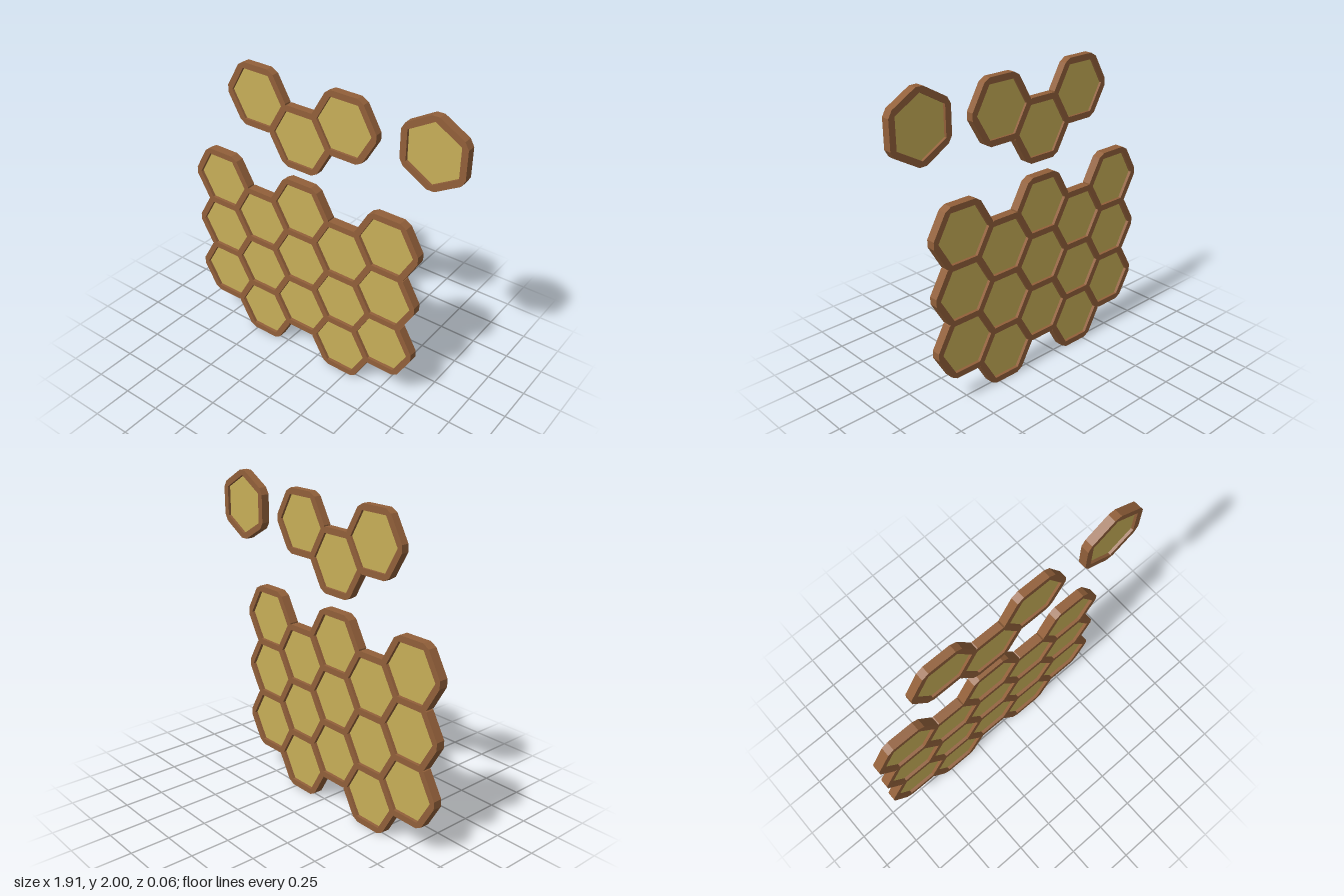
import * as THREE from 'three';

const EDGE = 0.207;                  // centre to corner of a cell, on the wall centre line
const PITCH = EDGE * Math.sqrt(3);   // distance between neighbouring cells
const OUTER = 0.1985, INNER = 0.16;  // centre to flat of the wall's two faces
const TIP = 0.2155;                  // centre to the blunted outer corner
const FRONT = 0.029;                 // shared front plane

const wood = new THREE.MeshStandardMaterial({ color: 0x92603a, flatShading: true });
const honey = new THREE.MeshStandardMaterial({ color: 0xc8af58, flatShading: true });

// Hexagon with flat top and bottom, given its centre-to-flat distance
function hexPoints(flat) {
  const r = flat / Math.cos(Math.PI / 6);
  return Array.from({ length: 6 }, (_, i) =>
    new THREE.Vector2(r * Math.cos(i * Math.PI / 3), r * Math.sin(i * Math.PI / 3)));
}

// Hexagon with every corner cut off square
function bluntHexPoints(flat, tip) {
  const cut = (flat / Math.cos(Math.PI / 6) - tip) * Math.tan(Math.PI / 3);
  const pts = [];
  for (let i = 0; i < 6; i++) {
    const a = i * Math.PI / 3;
    for (const s of [-cut, cut]) {
      pts.push(new THREE.Vector2(
        tip * Math.cos(a) - s * Math.sin(a),
        tip * Math.sin(a) + s * Math.cos(a)));
    }
  }
  return pts;
}

function frameGeometry(depth) {
  const shape = new THREE.Shape(bluntHexPoints(OUTER, TIP));
  shape.holes.push(new THREE.Path(hexPoints(INNER)));
  return new THREE.ExtrudeGeometry(shape, { depth, bevelEnabled: false });
}

// A group of cells: wooden hexagon frames with recessed panels
function comb(name, centres, depth, turn = 0) {
  const group = new THREE.Group();
  group.name = name;
  const thick = 0.018;
  const frameGeo = frameGeometry(depth);
  const panelGeo = new THREE.ExtrudeGeometry(
    new THREE.Shape(hexPoints(INNER + 0.006)), { depth: thick, bevelEnabled: false });
  for (const [x, y] of centres) {
    const cell = new THREE.Group();
    cell.name = 'cell';
    const frame = new THREE.Mesh(frameGeo, wood);
    frame.name = 'cellFrame';
    const panel = new THREE.Mesh(panelGeo, honey);
    panel.name = 'cellPanel';
    panel.position.z = (depth - thick) / 2;
    cell.add(frame, panel);
    cell.position.set(x, y, FRONT - depth);
    cell.rotation.z = turn;
    group.add(cell);
  }
  return group;
}

export function createModel() {
  const model = new THREE.Group();
  model.name = 'honeycombPanels';

  // Large sheet: five columns of three, every other column half a cell lower
  const sheet = [];
  for (let col = 0; col < 5; col++) {
    for (let row = 0; row < 3; row++) {
      sheet.push([
        -0.119 + (col - 2) * 1.5 * EDGE,
        OUTER + row * PITCH + (col % 2 === 0 ? PITCH / 2 : 0)]);
    }
  }
  model.add(comb('largeComb', sheet, 0.058));

  // Three cells in a V
  const trio = [-1, 0, 1].map(i =>
    [-0.115 + i * 1.5 * EDGE, 1.758 - (i === 0 ? PITCH / 2 : 0)]);
  model.add(comb('tripleComb', trio, 0.048));

  // Single cell standing on its corner
  model.add(comb('singleComb', [[0.758, 2 - TIP]], 0.053, Math.PI / 6));

  return model;
}
